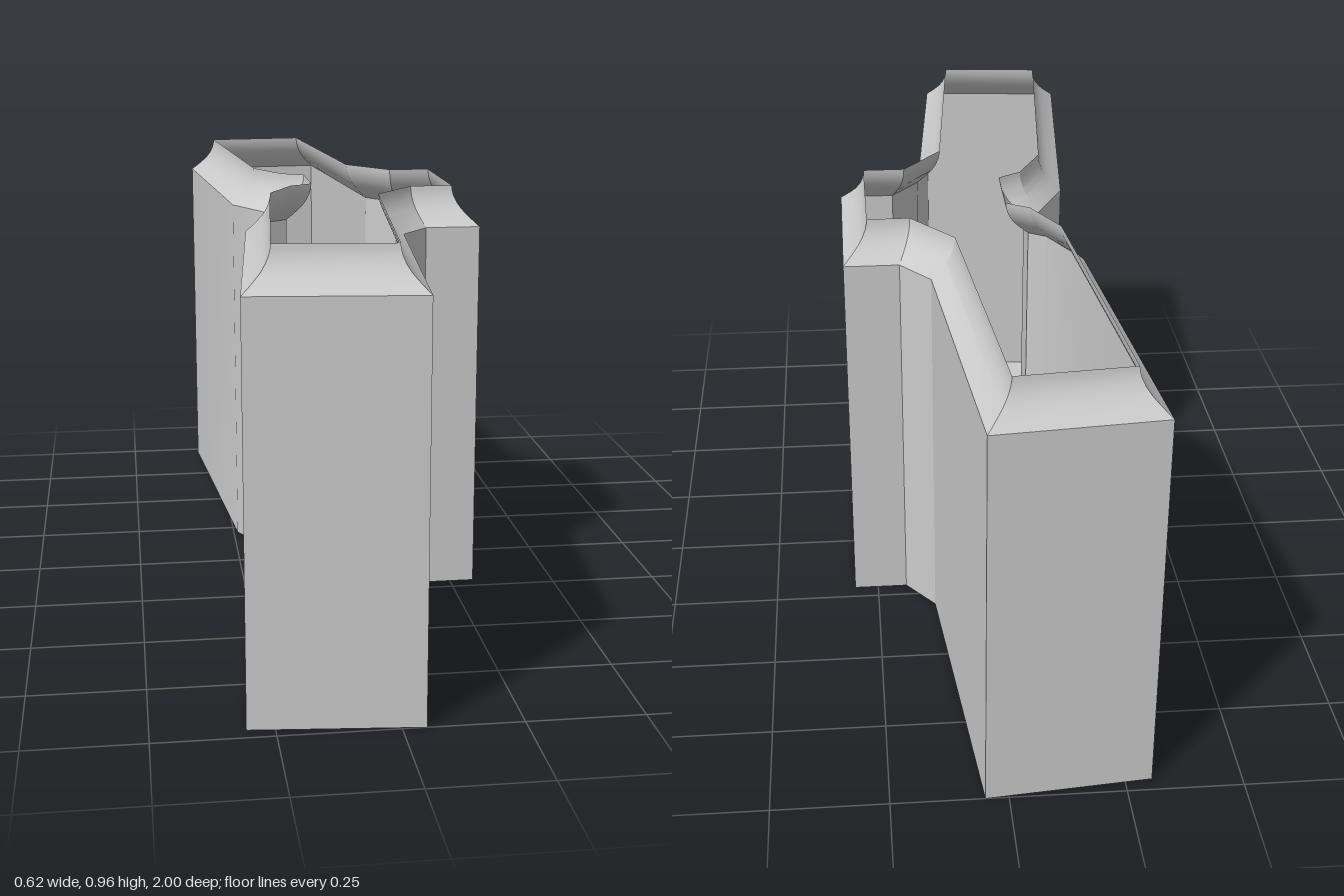
import * as THREE from 'three';
import { toCreasedNormals } from 'three/addons/utils/BufferGeometryUtils.js';

// Half of the plan outline as (x, z), from the rear notch round the arm to the front lug
const half = [
  [-0.13, 0.05], [-0.17, 0.075], [-0.24, 0.212], [-0.308, 0.967],
  [0.05, 1], [0.113, 0.297], [0.18, 0.212], [0.307, 0.212],
];
const outline = [...half, ...half.map(([x, z]) => [x, -z]).reverse()]
  .map(([x, z]) => new THREE.Vector2(x, z));

// Wall profile as (inset, height): straight body, then a curved neck
const body = [[0, 0], [0, 0.875]];
const neck = [[0, 0.875], [0.012, 0.886], [0.024, 0.898], [0.036, 0.911],
  [0.046, 0.926], [0.053, 0.942], [0.056, 0.955], [0.057, 0.965]];

// Moves every edge of the outline inwards by d, with mitred corners
function insetOutline(d) {
  const n = outline.length;
  const normal = (a, b) => new THREE.Vector2(b.y - a.y, a.x - b.x).normalize();
  return outline.map((p, i) => {
    const n1 = normal(outline[(i + n - 1) % n], p);
    const n2 = normal(p, outline[(i + 1) % n]);
    return p.clone().addScaledVector(n1.clone().add(n2), d / (1 + n1.dot(n2)));
  });
}

// Skins the outline along a profile
function wall(profile) {
  const positions = [], index = [], n = outline.length;
  for (const [d, y] of profile) {
    for (const p of insetOutline(d)) positions.push(p.x, y, p.y);
  }
  for (let j = 0; j < profile.length - 1; j++) {
    for (let i = 0; i < n; i++) {
      const k = (i + 1) % n;
      const a = j * n + i, b = j * n + k, c = b + n, e = a + n;
      index.push(a, b, c, a, c, e);
    }
  }
  const g = new THREE.BufferGeometry();
  g.setAttribute('position', new THREE.Float32BufferAttribute(positions, 3));
  g.setIndex(index);
  return toCreasedNormals(g, Math.PI / 7);
}

export function createModel() {
  const group = new THREE.Group();
  group.name = 'container';
  const material = new THREE.MeshStandardMaterial({ color: 0xcccccc, side: THREE.DoubleSide });
  const add = (name, geometry) => {
    const mesh = new THREE.Mesh(geometry, material);
    mesh.name = name;
    group.add(mesh);
  };

  add('bodyWall', wall(body));
  add('neck', wall(neck));

  // Flat floor closing the bottom; the top stays open
  add('floor', new THREE.ShapeGeometry(new THREE.Shape(outline)).rotateX(Math.PI / 2));

  return group;
}
